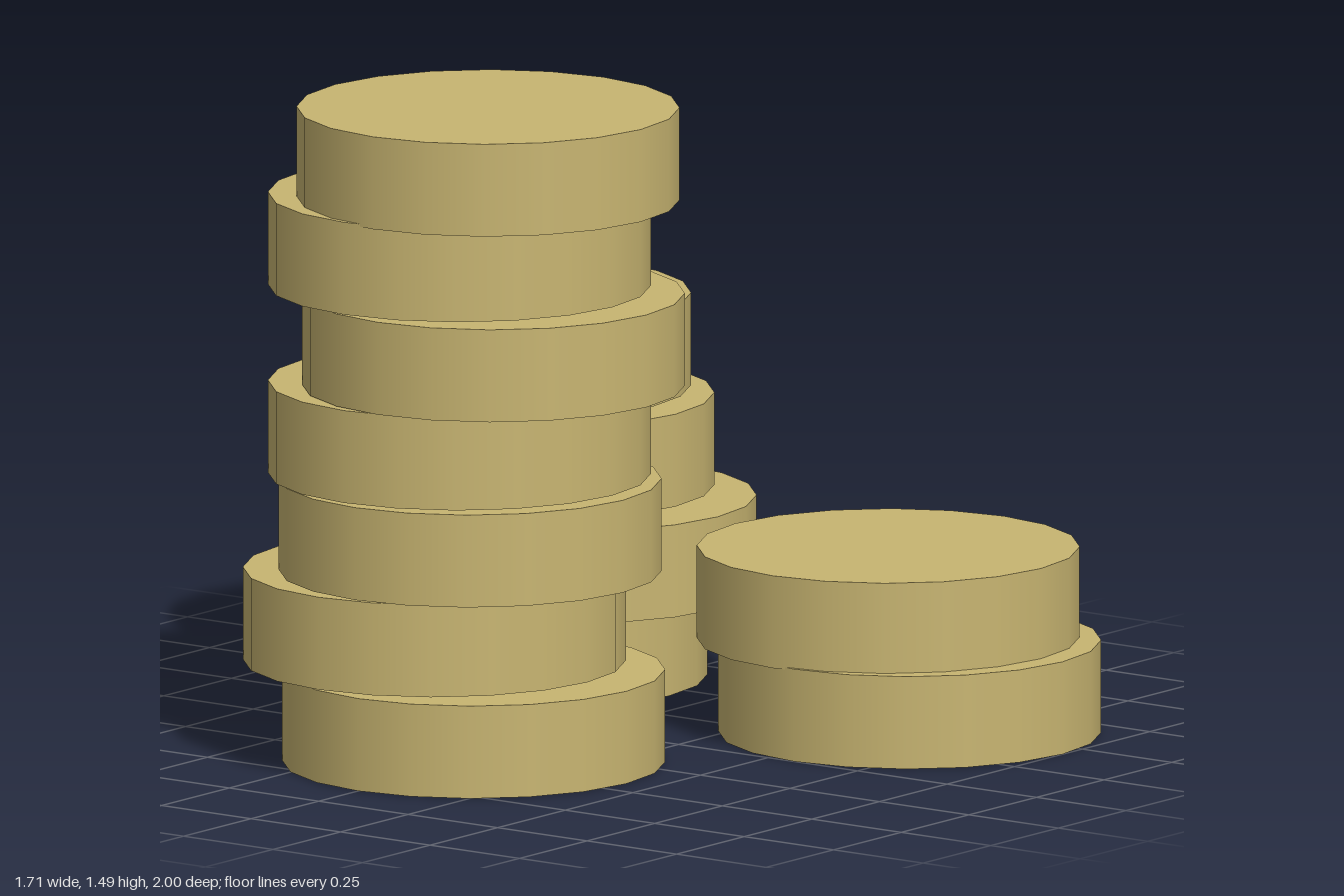
import * as THREE from 'three';

const RADIUS = 0.427;
const THICKNESS = 0.21;

// Each disc is listed bottom to top as [base height, z centre]
const STACKS = [
  {
    name: 'tallStack', x: -RADIUS,
    discs: [[0, 0], [0.217, -0.11], [0.433, -0.01], [0.65, -0.04], [0.862, 0.055], [1.078, -0.04], [1.282, 0.04]],
  },
  {
    name: 'mediumStack', x: RADIUS,
    discs: [[0, -0.527], [0.214, -0.39], [0.433, -0.508], [0.652, -0.573]],
  },
  {
    name: 'shortStack', x: RADIUS,
    discs: [[0, 0.573], [0.205, 0.513]],
  },
];

export function createModel() {
  const model = new THREE.Group();
  model.name = 'coinStacks';

  const gold = new THREE.MeshStandardMaterial({ color: 0xc8b571 });
  gold.name = 'paleGold';

  // One twenty-sided coin with smooth rim, shared by every stack
  const coinGeometry = new THREE.CylinderGeometry(RADIUS, RADIUS, THICKNESS, 20);
  coinGeometry.translate(0, THICKNESS / 2, 0);

  for (const { name, x, discs } of STACKS) {
    const stack = new THREE.Group();
    stack.name = name;
    discs.forEach(([y, z], i) => {
      const coin = new THREE.Mesh(coinGeometry, gold);
      coin.name = `coin${i + 1}`;
      coin.position.set(x, y, z);
      stack.add(coin);
    });
    model.add(stack);
  }
  return model;
}
